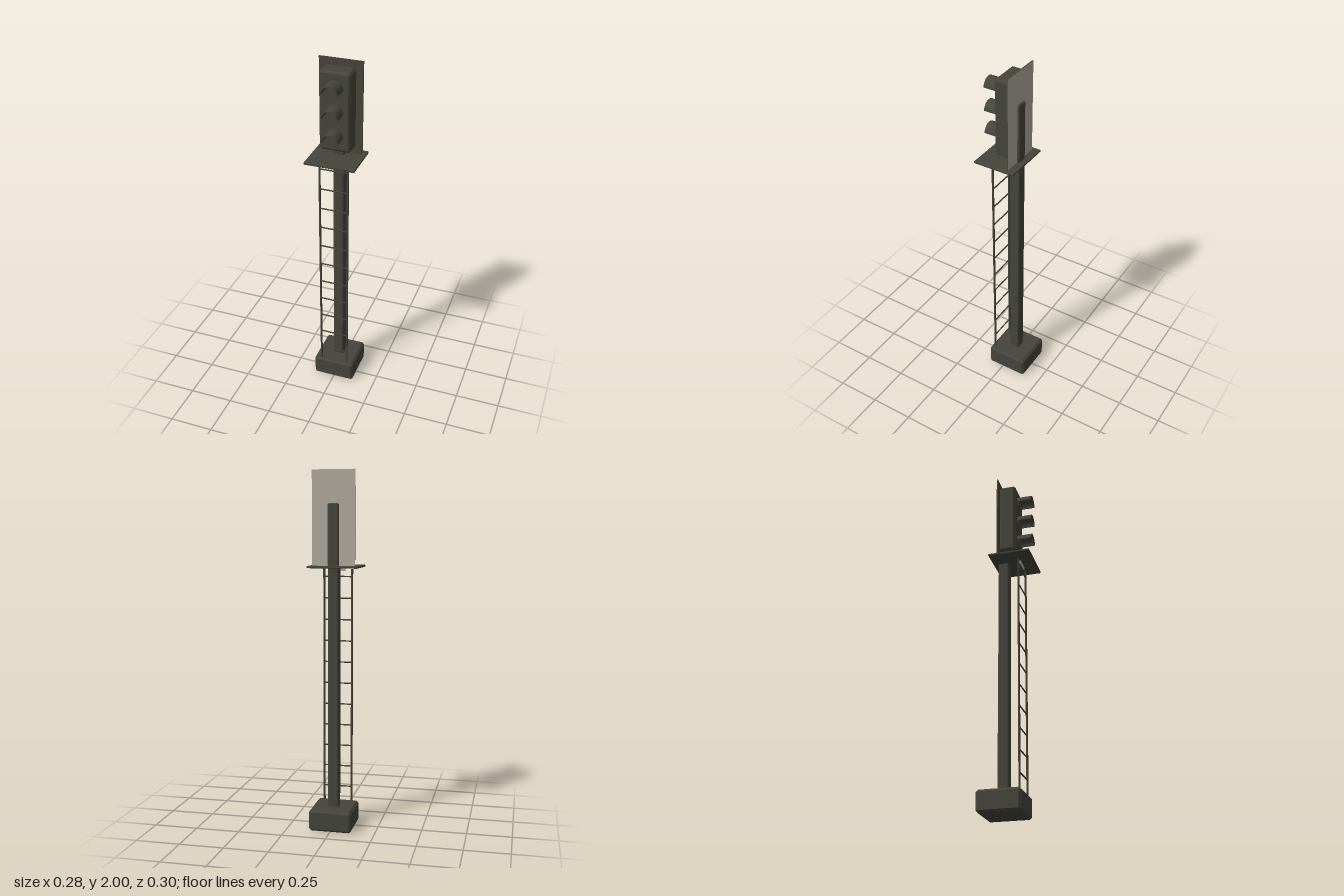
import * as THREE from 'three';
import { ConvexGeometry } from 'three/addons/geometries/ConvexGeometry.js';

const dark = new THREE.MeshStandardMaterial({ color: 0x45453d, side: THREE.DoubleSide });
dark.name = 'dark painted metal';
const pale = new THREE.MeshStandardMaterial({ color: 0xb2ada0, side: THREE.DoubleSide });
pale.name = 'pale grey';

// Box with every edge chamfered by c
function chamferBox(w, h, d, c) {
  const pts = [];
  for (const sx of [-1, 1]) for (const sy of [-1, 1]) for (const sz of [-1, 1]) {
    for (let axis = 0; axis < 3; axis++) {
      const inset = [0, 1, 2].map(i => (i === axis ? 0 : c));
      pts.push(new THREE.Vector3(
        sx * (w / 2 - inset[0]), sy * (h / 2 - inset[1]), sz * (d / 2 - inset[2])));
    }
  }
  return new ConvexGeometry(pts);
}

// Half-round hood, open below, running forward along +z from z = 0
function hoodGeometry(r, thickness, length) {
  const s = new THREE.Shape();
  s.absarc(0, 0, r, 0, Math.PI, false);
  s.absarc(0, 0, r - thickness, Math.PI, 0, true);
  s.closePath();
  return new THREE.ExtrudeGeometry(s, { depth: length, bevelEnabled: false, curveSegments: 20 });
}

export function createModel() {
  const model = new THREE.Group();
  model.name = 'trackSignal';
  const add = (name, geometry, material, x, y, z, parent = model) => {
    const mesh = new THREE.Mesh(geometry, material);
    mesh.name = name;
    mesh.position.set(x, y, z);
    parent.add(mesh);
    return mesh;
  };

  // Footing and post
  add('base', chamferBox(0.24, 0.12, 0.24, 0.012), dark, 0, 0.06, -0.03);
  add('post', chamferBox(0.06, 1.71, 0.06, 0.005), dark, 0, 0.965, -0.03);

  // Platform
  add('platform', chamferBox(0.28, 0.012, 0.24, 0.002), dark, 0, 1.476, 0.03);

  // Backboard: dark towards the front and edges, pale on its back face
  add('backboard', new THREE.BoxGeometry(0.24, 0.525, 0.007),
    [dark, dark, dark, dark, dark, pale], 0, 1.7375, -0.044);

  // Signal head with three hooded lamps
  const head = new THREE.Group();
  head.name = 'signalHead';
  model.add(head);
  add('housing', chamferBox(0.17, 0.44, 0.097, 0.012), dark, 0, 1.745, 0.0075, head);
  const hood = hoodGeometry(0.047, 0.005, 0.086);
  const lens = new THREE.CylinderGeometry(0.042, 0.042, 0.01, 32).rotateX(Math.PI / 2);
  for (const y of [1.873, 1.74, 1.608]) {
    add('lampHood', hood, dark, 0, y, 0.055, head);
    add('lampLens', lens, dark, 0, y, 0.059, head);
  }

  // Ladder
  const ladder = new THREE.Group();
  ladder.name = 'ladder';
  model.add(ladder);
  const rail = new THREE.CylinderGeometry(0.006, 0.006, 1.35, 10);
  for (const side of [-1, 1]) add('ladderRail', rail, dark, side * 0.08, 0.785, 0.073, ladder);
  const rung = new THREE.CylinderGeometry(0.004, 0.004, 0.16, 8).rotateZ(Math.PI / 2);
  for (let i = 0; i < 11; i++) add('ladderRung', rung, dark, 0, 0.205 + i * 0.1213, 0.073, ladder);

  // Small plate hanging under the platform between the rails
  add('plate', new THREE.BoxGeometry(0.08, 0.022, 0.006), pale, 0, 1.46, 0.073);

  return model;
}
